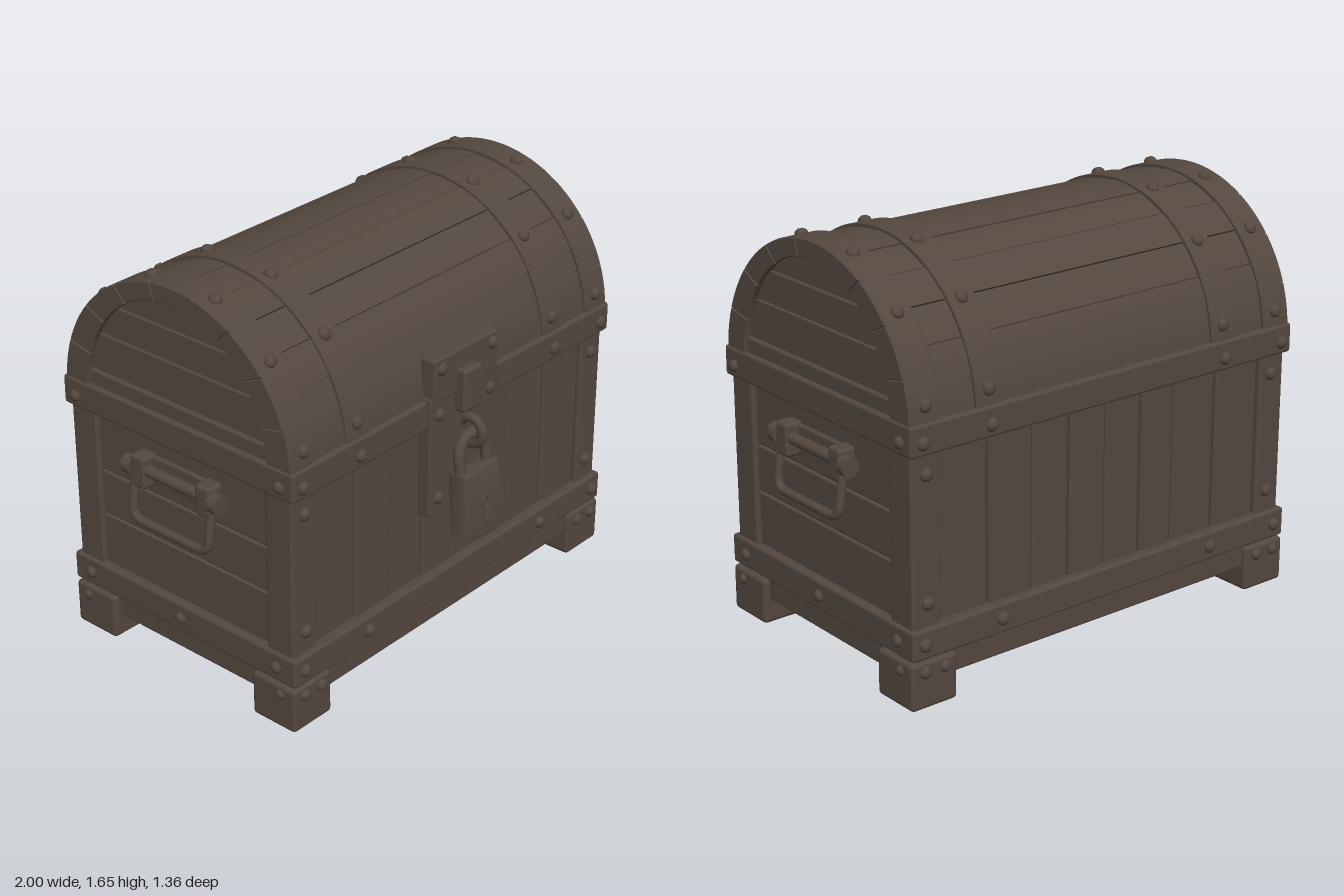
import * as THREE from 'three';
import { toCreasedNormals } from 'three/addons/utils/BufferGeometryUtils.js';
import { RoundedBoxGeometry } from 'three/addons/geometries/RoundedBoxGeometry.js';

const wood = new THREE.MeshStandardMaterial({ color: 0x54483f });
wood.name = 'dark brown wood';

const LID_Y = 1.07;   // centre height of the lid arch
const LID_R = 0.585;

function add(parent, name, geometry, x = 0, y = 0, z = 0) {
  const mesh = new THREE.Mesh(geometry, wood);
  mesh.name = name;
  mesh.position.set(x, y, z);
  parent.add(mesh);
  return mesh;
}

// Softly rounded box given by its limits
function box(parent, name, x0, x1, y0, y1, z0, z1, r = 0.01) {
  const g = new RoundedBoxGeometry(x1 - x0, y1 - y0, z1 - z0, 2, r);
  return add(parent, name, g, (x0 + x1) / 2, (y0 + y1) / 2, (z0 + z1) / 2);
}

// Domed rivet facing along a direction
function rivet(parent, x, y, z, nx, ny, nz, r = 0.027) {
  const m = add(parent, 'rivet', new THREE.SphereGeometry(r, 10, 8), x, y, z);
  m.scale.set(1, 1, 0.8);
  m.quaternion.setFromUnitVectors(new THREE.Vector3(0, 0, 1), new THREE.Vector3(nx, ny, nz).normalize());
  return m;
}

// Shape drawn across the chest (z, y), extruded along x
function slab(parent, name, shape, x0, x1, segments = 8) {
  const b = 0.003;
  const g = new THREE.ExtrudeGeometry(shape, {
    depth: x1 - x0 - 2 * b, bevelThickness: b, bevelSize: b, bevelOffset: -b, bevelSegments: 1, curveSegments: segments,
  });
  g.translate(0, 0, b);
  g.rotateY(Math.PI / 2);
  return add(parent, name, toCreasedNormals(g, 0.5), x0, LID_Y, 0);
}

// Piece of the arch between an inner ellipse and an outer circle
function archPiece(parent, name, x0, x1, rz, ry, outer, a0, a1, segments) {
  const s = new THREE.Shape();
  s.absarc(0, 0, outer, a0, a1, false);
  s.absellipse(0, 0, rz, ry, a1, a0, true);
  return slab(parent, name, s, x0, x1, segments);
}

// Front or back wall, facing +z
function buildLongWall() {
  const wall = new THREE.Group();
  const edges = [-0.8, -0.57, -0.36, -0.18, 0, 0.18, 0.35, 0.57, 0.8];
  for (let i = 0; i < 8; i++) {
    box(wall, 'wallPlank', edges[i] + 0.004, edges[i + 1] - 0.004, 0.3, 1, 0.52, 0.553 + 0.004 * (i % 2), 0.008);
  }
  box(wall, 'upperBand', -0.945, 0.945, 0.99, 1.11, 0.53, 0.595, 0.012);
  box(wall, 'lowerBand', -0.945, 0.945, 0.2, 0.32, 0.53, 0.595, 0.012);
  box(wall, 'baseRail', -0.92, 0.92, 0.1, 0.205, 0.5, 0.572);
  for (const s of [-1, 1]) {
    for (const x of [0.58, 0.89]) rivet(wall, s * x, 1.04, 0.595, 0, 0, 1);
    for (const x of [0.53, 0.89]) rivet(wall, s * x, 0.26, 0.595, 0, 0, 1);
    for (const y of [0.41, 0.91]) rivet(wall, s * 0.86, y, 0.572, 0, 0, 1);
    for (const x of [0.8, 0.89]) rivet(wall, s * x, 0.15, 0.593, 0, 0, 1, 0.024);
  }
  return wall;
}

// Carrying handle on the +x end
function buildHandle() {
  const handle = new THREE.Group();
  handle.name = 'handle';
  box(handle, 'handlePlate', 0.9, 0.925, 0.79, 0.91, -0.2, 0.2, 0.008);
  const pivot = add(handle, 'handlePivot', new THREE.CylinderGeometry(0.024, 0.024, 0.4, 12), 0.95, 0.86, 0);
  pivot.rotation.x = Math.PI / 2;
  for (const s of [-1, 1]) {
    box(handle, 'handleMount', 0.9, 0.98, 0.785, 0.92, s * 0.17 - 0.038, s * 0.17 + 0.038, 0.015);
    const knob = add(handle, 'handleCollar', new THREE.CylinderGeometry(0.04, 0.04, 0.04, 12), 0.955, 0.86, s * 0.225);
    knob.rotation.x = Math.PI / 2;
  }
  const path = new THREE.CurvePath();
  const v = (x, y, z) => new THREE.Vector3(x, y, z);
  path.add(new THREE.LineCurve3(v(0.955, 0.85, -0.2), v(0.977, 0.7, -0.2)));
  path.add(new THREE.QuadraticBezierCurve3(v(0.977, 0.7, -0.2), v(0.982, 0.65, -0.2), v(0.982, 0.65, -0.145)));
  path.add(new THREE.LineCurve3(v(0.982, 0.65, -0.145), v(0.982, 0.65, 0.145)));
  path.add(new THREE.QuadraticBezierCurve3(v(0.982, 0.65, 0.145), v(0.982, 0.65, 0.2), v(0.977, 0.7, 0.2)));
  path.add(new THREE.LineCurve3(v(0.977, 0.7, 0.2), v(0.955, 0.85, 0.2)));
  add(handle, 'handleLoop', new THREE.TubeGeometry(path, 48, 0.018, 10));
  return handle;
}

// End wall with the lid's end, facing +x
function buildEnd() {
  const end = new THREE.Group();
  const edges = [0.3, 0.54, 0.735, 1];
  for (let i = 0; i < 3; i++) {
    box(end, 'endPlank', 0.87, 0.908, edges[i] + 0.004, edges[i + 1] - 0.004, -0.46, 0.46, 0.008);
  }
  box(end, 'endUpperBand', 0.88, 0.945, 0.99, 1.11, -0.593, 0.593, 0.012);
  box(end, 'endLowerBand', 0.88, 0.945, 0.2, 0.32, -0.593, 0.593, 0.012);
  box(end, 'endBaseRail', 0.85, 0.92, 0.1, 0.205, -0.56, 0.56);
  for (const z of [-0.5, 0, 0.5]) rivet(end, 0.945, 0.26, z, 1, 0, 0, 0.025);
  for (const s of [-1, 1]) {
    rivet(end, 0.945, 1.04, s * 0.53, 1, 0, 0, 0.025);
    rivet(end, 0.948, 0.15, s * 0.52, 1, 0, 0, 0.022);
    box(end, 'cornerPost', 0.8, 0.93, 0.3, 1, s > 0 ? 0.44 : -0.572, s > 0 ? 0.572 : -0.44, 0.012);
    box(end, 'foot', 0.74, 0.95, 0, 0.19, s > 0 ? 0.375 : -0.592, s > 0 ? 0.592 : -0.375, 0.018);
  }
  // Lid end planks, cut to the arch
  const ys = [0.02, 0.26, 0.395, 0.53];
  for (let i = 0; i < 3; i++) {
    const pts = [];
    for (let k = 0; k <= 6; k++) {
      const y = ys[i] + 0.003 + (ys[i + 1] - ys[i] - 0.006) * k / 6;
      pts.push(new THREE.Vector2(Math.sqrt(0.55 ** 2 - y * y), y));
    }
    const mirrored = pts.map((p) => new THREE.Vector2(-p.x, p.y)).reverse();
    slab(end, 'lidEndPlank', new THREE.Shape(pts.concat(mirrored)), 0.86, 0.906);
  }
  box(end, 'lidEndRail', 0.88, 0.925, 1.1, 1.17, -0.47, 0.47, 0.008);
  // Segmented rim
  const n = 9;
  for (let i = 0; i < n; i++) {
    archPiece(end, 'lidRim', 0.915, 0.938, 0.465, 0.515, LID_R - 0.002,
      i * Math.PI / n + 0.003, (i + 1) * Math.PI / n - 0.003, 8);
  }
  end.add(buildHandle());
  return end;
}

// Lid planks and straps
function buildLid() {
  const lid = new THREE.Group();
  lid.name = 'lid';
  const core = new THREE.Shape();
  core.absarc(0, 0, 0.555, 0, Math.PI, false);
  slab(lid, 'lidCore', core, -0.885, 0.885, 32);
  const n = 12;
  for (let i = 0; i < n; i++) {
    archPiece(lid, 'lidPlank', -0.88, 0.88, 0.54, 0.54, 0.57 + 0.003 * (i % 2),
      i * Math.PI / n + 0.004, (i + 1) * Math.PI / n - 0.004, 5);
  }
  for (const s of [-1, 1]) {
    archPiece(lid, 'lidStrap', s * 0.58 - 0.06, s * 0.58 + 0.06, 0.54, 0.54, LID_R, 0, Math.PI, 40);
    archPiece(lid, 'lidEndStrap', s * 0.865 - 0.065, s * 0.865 + 0.065, 0.475, 0.525, LID_R, 0, Math.PI, 40);
    for (const x of [0.58, 0.865]) {
      for (const deg of [-80, -46, -16, 16, 46, 80]) {
        const a = deg * Math.PI / 180, ny = Math.cos(a), nz = Math.sin(a);
        rivet(lid, s * x, LID_Y + LID_R * ny, LID_R * nz, 0, ny, nz);
      }
    }
  }
  return lid;
}

// Lock plate, hasp and hanging padlock
function buildLock() {
  const lock = new THREE.Group();
  lock.name = 'lock';
  box(lock, 'lockPlateUpper', -0.195, 0.185, 1.1, 1.28, 0.55, 0.618);
  box(lock, 'lockPlateLower', -0.205, 0.205, 0.61, 1.12, 0.54, 0.61);
  for (const s of [-1, 1]) {
    for (const y of [0.68, 1.04, 1.235]) rivet(lock, s * 0.15, y, y > 1.1 ? 0.616 : 0.608, 0, 0, 1);
  }
  box(lock, 'hasp', -0.06, 0.05, 1.02, 1.2, 0.6, 0.657, 0.014);
  const ring = add(lock, 'staple', new THREE.TorusGeometry(0.055, 0.02, 10, 24), -0.005, 0.93, 0.648);
  ring.rotation.y = Math.PI / 2;

  const padlock = new THREE.Group();
  padlock.name = 'padlock';
  padlock.position.set(-0.01, 0.78, 0.668);
  padlock.rotation.x = -0.14;
  const s = new THREE.Shape();
  s.moveTo(-0.1, 0);
  s.lineTo(0.1, 0);
  s.lineTo(0.122, -0.25);
  s.quadraticCurveTo(0, -0.3, -0.122, -0.25);
  s.closePath();
  const body = new THREE.ExtrudeGeometry(s, { depth: 0.06, bevelThickness: 0.014, bevelSize: 0.012, bevelOffset: -0.008, bevelSegments: 2 });
  body.translate(0, 0, -0.03);
  add(padlock, 'padlockBody', toCreasedNormals(body, 0.7));
  add(padlock, 'shackleArch', new THREE.TorusGeometry(0.08, 0.023, 10, 20, Math.PI), 0, 0.06, 0);
  for (const x of [-0.08, 0.08]) {
    add(padlock, 'shackleLeg', new THREE.CylinderGeometry(0.023, 0.023, 0.08, 10), x, 0.022, 0);
  }
  const disc = add(padlock, 'keyholeRing', new THREE.TorusGeometry(0.02, 0.007, 8, 16), 0, -0.135, 0.044);
  disc.scale.z = 0.8;
  box(padlock, 'keyholeSlot', -0.012, 0.012, -0.22, -0.15, 0.04, 0.051, 0.004);
  lock.add(padlock);
  return lock;
}

export function createModel() {
  const model = new THREE.Group();
  model.name = 'treasureChest';
  const chest = new THREE.Group();
  chest.name = 'chest';
  chest.position.z = -0.07;
  model.add(chest);

  box(chest, 'bodyCore', -0.895, 0.895, 0.14, 1.08, -0.54, 0.54);
  for (let i = 0; i < 7; i++) {
    box(chest, 'bottomPlank', -0.87, 0.87, 0.118, 0.15, -0.525 + i * 0.15 + 0.004, -0.375 + i * 0.15 - 0.004, 0.006);
  }
  ['frontWall', 'backWall'].forEach((name, i) => {
    const wall = buildLongWall();
    wall.name = name;
    wall.rotation.y = i * Math.PI;
    chest.add(wall);
  });
  ['leftEnd', 'rightEnd'].forEach((name, i) => {
    const end = buildEnd();
    end.name = name;
    end.rotation.y = i * Math.PI;
    chest.add(end);
  });
  chest.add(buildLid(), buildLock());
  return model;
}
